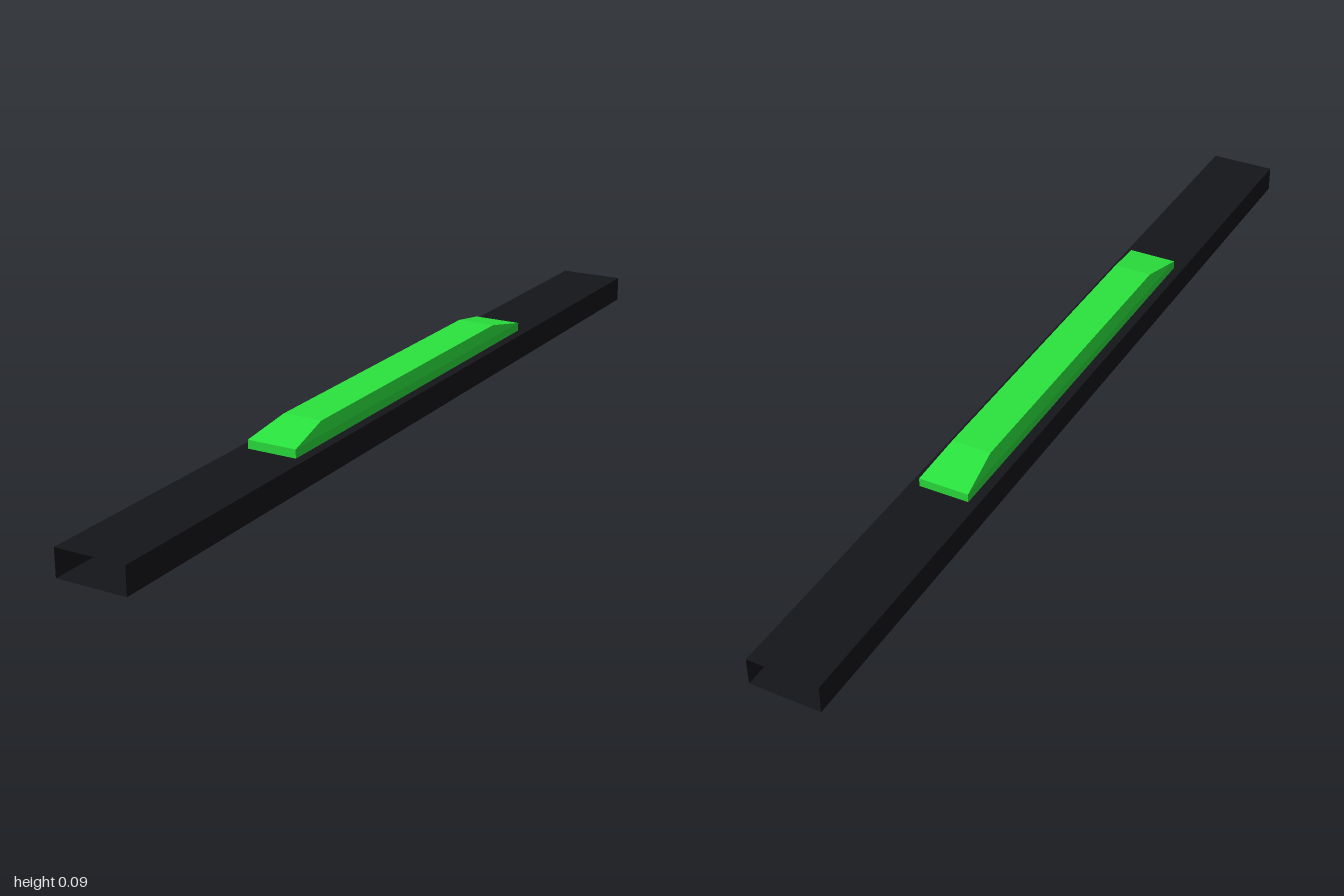
import * as THREE from 'three';

const black = new THREE.MeshStandardMaterial({ color: 0x15161a, flatShading: true, side: THREE.DoubleSide });
const green = new THREE.MeshStandardMaterial({ color: 0x2be53f, flatShading: true });

// Thin rectangular channel, open at both ends
function createRail(halfWidth, height, length) {
  const rail = new THREE.Group();
  rail.name = 'rail';
  const addWall = (name, width, x, y, angle) => {
    const geometry = new THREE.PlaneGeometry(width, length).rotateX(-Math.PI / 2).rotateZ(angle);
    const wall = new THREE.Mesh(geometry, black);
    wall.name = name;
    wall.position.set(x, y, 0);
    rail.add(wall);
  };
  addWall('railTop', halfWidth * 2, 0, height, 0);
  addWall('railBottom', halfWidth * 2, 0, 0, Math.PI);
  addWall('railLeft', height, halfWidth, height / 2, -Math.PI / 2);
  addWall('railRight', height, -halfWidth, height / 2, Math.PI / 2);
  return rail;
}

// Long block whose upper edges slope inwards, with long ramps at the ends
function createGrip() {
  const geometry = new THREE.BoxGeometry(2, 2, 2, 1, 2, 1);
  const rows = [
    { x: 0.053, y: 0.021, z: 0.467 },
    { x: 0.053, y: 0.074, z: 0.467 },
    { x: 0.042, y: 0.095, z: 0.36 },
  ];
  const p = geometry.attributes.position;
  for (let i = 0; i < p.count; i++) {
    const row = rows[Math.round(p.getY(i)) + 1];
    p.setXYZ(i, p.getX(i) * row.x, row.y, p.getZ(i) * row.z);
  }
  geometry.computeVertexNormals();
  const grip = new THREE.Mesh(geometry, green);
  grip.name = 'grip';
  return grip;
}

export function createModel() {
  const model = new THREE.Group();
  model.name = 'railWithGrip';
  model.add(createRail(0.073, 0.056, 2), createGrip());
  return model;
}
